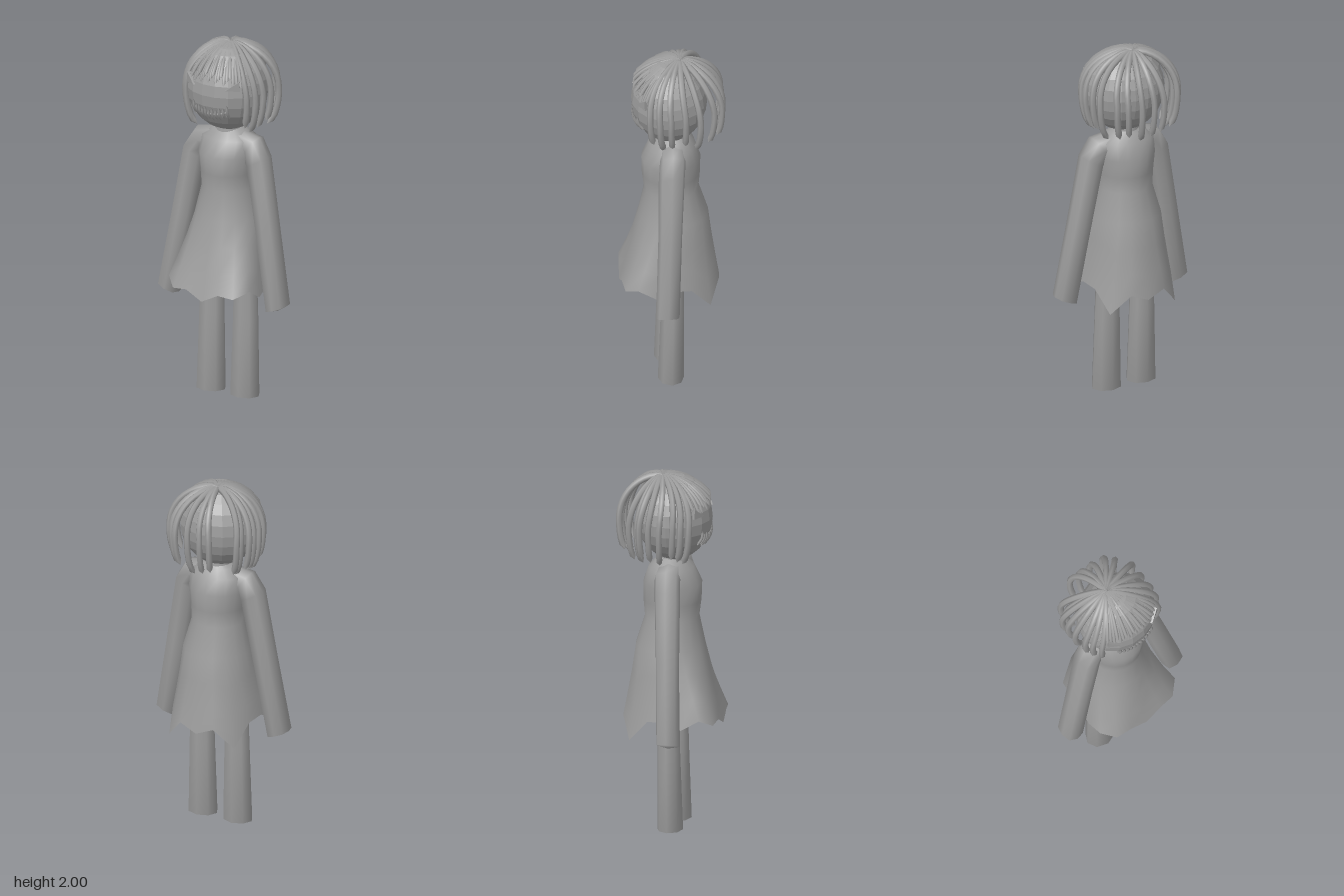
import * as THREE from 'three';

const grey = new THREE.MeshStandardMaterial({ color: 0x9c9c9c, side: THREE.DoubleSide });
const faceted = new THREE.MeshStandardMaterial({ color: 0x9c9c9c, flatShading: true });
const V = (x, y, z) => new THREE.Vector3(x, y, z);

// Skin closed rings, listed from top to bottom; optionally close the end around a middle point
function loft(rings, tip) {
  const all = rings.slice();
  if (tip) all.push(rings[0].map(() => tip));
  const n = all[0].length, index = [];
  for (let j = 0; j < all.length - 1; j++) {
    for (let i = 0; i < n; i++) {
      const a = j * n + i, b = j * n + (i + 1) % n;
      index.push(a, a + n, b, b, a + n, b + n);
    }
  }
  const g = new THREE.BufferGeometry().setFromPoints(all.flat());
  g.setIndex(index);
  g.computeVertexNormals();
  return g;
}

function ring(n, fn) {
  return Array.from({ length: n }, (_, i) => {
    const a = (i / n) * Math.PI * 2;
    return fn(Math.sin(a), Math.cos(a));
  });
}

// Six-sided lock of hair with both ends drawn to a point
function lock(points, radius, steps) {
  const g = new THREE.TubeGeometry(new THREE.CatmullRomCurve3(points), steps, radius, 6);
  const pos = g.attributes.position;
  const start = points[0], end = points[points.length - 1];
  for (let i = 0; i < 7; i++) {
    pos.setXYZ(i, start.x, start.y, start.z);
    pos.setXYZ(steps * 7 + i, end.x, end.y, end.z);
  }
  return g;
}

export function createModel() {
  const model = new THREE.Group();
  const add = (name, geometry, material = grey, parent = model) => {
    const m = new THREE.Mesh(geometry, material);
    m.name = name;
    parent.add(m);
    return m;
  };
  const group = (name) => {
    const g = new THREE.Group();
    g.name = name;
    model.add(g);
    return g;
  };

  // Dress: rows of [y, half width, front z, back z], then a jagged hem
  const rows = [
    [1.53, 0.07, 0.065, -0.065], [1.51, 0.1, 0.08, -0.08], [1.47, 0.16, 0.125, -0.12],
    [1.38, 0.165, 0.17, -0.149], [1.28, 0.152, 0.167, -0.148], [1.19, 0.148, 0.155, -0.14],
    [1.03, 0.19, 0.188, -0.19],
  ];
  const halfHem = [
    [0, 0.6, 0.289], [0.1, 0.65, 0.284], [0.19, 0.64, 0.273], [0.255, 0.68, 0.21], [0.255, 0.62, 0.11],
    [0.25, 0.66, 0.02], [0.235, 0.65, -0.08], [0.2, 0.53, -0.185], [0.1, 0.64, -0.24], [0, 0.6, -0.25],
  ];
  const hem = [
    ...halfHem.map(([x, y, z]) => V(x, y, z)),
    ...halfHem.slice(1, -1).reverse().map(([x, y, z]) => V(-x, y, z)),
  ];
  const dressRings = rows.map(([y, rx, zf, zb]) =>
    ring(hem.length, (s, c) => V(rx * s, y, (zf + zb) / 2 + ((zf - zb) / 2) * c)));
  const hip = dressRings[dressRings.length - 1];
  for (const t of [0.35, 0.7]) {
    dressRings.push(hip.map((p, i) => {
      const q = p.clone().lerp(hem[i], t ** 1.15);
      q.y = THREE.MathUtils.lerp(p.y, hem[i].y, t);
      return q;
    }));
  }
  dressRings.push(hem);
  add('dress', loft(dressRings));

  // Sleeves: sections [x, y, z, across x, across y, half depth]; legs: [x, y, z, half width, half depth]
  const sleeve = [
    [0.07, 1.445, 0.01, 0.01, 0.068, 0.065], [0.155, 1.43, 0.015, 0.04, 0.06, 0.07],
    [0.2, 1.36, 0.025, 0.057, 0.03, 0.07], [0.264, 1.0, 0.04, 0.06, 0.014, 0.064],
    [0.342, 0.56, 0.06, 0.058, 0.022, 0.064],
  ];
  const leg = [
    [0.105, 0.85, 0.01, 0.06, 0.058], [0.107, 0.45, 0.012, 0.074, 0.063], [0.107, 0.015, 0.02, 0.086, 0.071],
  ];
  const square = (v) => Math.sign(v) * Math.abs(v) ** 0.7;
  for (const side of [1, -1]) {
    const label = side > 0 ? 'left' : 'right';
    add(label + 'Sleeve', loft(sleeve.map(([x, y, z, dx, dy, hz]) =>
      ring(8, (s, c) => V(side * x + dx * square(s), y + side * dy * square(s), z + hz * square(c)))),
      V(side * 0.344, 0.545, 0.06)));
    add(label + 'Leg', loft(leg.map(([x, y, z, rx, rz]) =>
      ring(8, (s, c) => V(side * x + rx * s, y, z + rz * c))), V(side * 0.107, 0, 0.02)));
  }

  // Neck and faceted head
  add('neck', new THREE.CylinderGeometry(0.07, 0.08, 0.07, 16)).position.set(0, 1.53, 0.005);
  const head = add('head', new THREE.SphereGeometry(1, 18, 12), faceted);
  head.scale.set(0.225, 0.235, 0.205);
  head.position.set(0, 1.75, 0.02);
  const faceZ = (x, y) =>
    0.02 + 0.205 * Math.sqrt(Math.max(0, 1 - (x / 0.225) ** 2 - ((y - 1.75) / 0.235) ** 2));

  // Three-cornered eyes
  for (const side of [1, -1]) {
    const shape = new THREE.Shape([
      new THREE.Vector2(-side * 0.04, -0.02), new THREE.Vector2(side * 0.04, -0.025),
      new THREE.Vector2(side * 0.035, 0.03),
    ]);
    const eye = add(side > 0 ? 'leftEye' : 'rightEye',
      new THREE.ExtrudeGeometry(shape, { depth: 0.02, bevelEnabled: false }), faceted);
    eye.position.set(side * 0.125, 1.815, faceZ(0.125, 1.815) - 0.01);
    eye.rotation.y = side * 0.55;
  }

  // Smiling mouth: a curved lip crossed by upright stitches
  const mouth = group('mouth');
  const smileY = (x) => 1.645 + 2 * x * x;
  const lip = [-0.11, -0.055, 0, 0.055, 0.11].map((x) => V(x, smileY(x), faceZ(x, smileY(x)) + 0.002));
  add('lip', lock(lip, 0.006, 12), grey, mouth);
  for (let i = 0; i < 11; i++) {
    const x = -0.105 + i * 0.021, y = smileY(x), h = i % 2 ? 0.032 : 0.042;
    const pts = [h, 0, -h].map((d) => V(x, y + d, faceZ(x, y + d) + (d ? 0.002 : 0.008)));
    add('stitch', lock(pts, 0.008, 6), grey, mouth);
  }

  // Hair locks run from the crown over the skull to an outer point (x, z)
  const hair = group('hair');
  const crown = [-0.02, -0.04];
  function hairLock(name, x, z, endAngle, radius, swirl) {
    const fall = (t) => (t < Math.PI / 2 ? Math.sin(t) : Math.sin(t) ** 0.38);
    const reach = endAngle < Math.PI / 2 ? fall(endAngle) : 1;
    const dx = (x - crown[0]) / reach, dz = (z - crown[1]) / reach, pts = [];
    for (let i = 0; i <= 8; i++) {
      const t = endAngle * (i / 8), f = fall(t), w = swirl * Math.sin(2 * Math.min(t, Math.PI / 2));
      pts.push(V(crown[0] + dx * f - dz * w, 1.742 + 0.242 * Math.cos(t), crown[1] + dz * f + dx * w));
    }
    add(name, lock(pts, radius, 16), grey, hair);
  }
  const tips = [
    [-0.09, -0.265], [-0.03, -0.265], [0.045, -0.265], [0.125, -0.255], [0.17, -0.21], [0.23, -0.13],
    [0.23, -0.05], [0.23, 0.03], [0.22, 0.09], [0.195, 0.14], [-0.215, -0.185], [-0.215, -0.14],
    [-0.255, -0.12], [-0.255, -0.07], [-0.255, -0.01], [-0.24, 0.06], [-0.22, 0.1], [-0.19, 0.14],
  ];
  tips.forEach(([x, z], i) => hairLock('longLock', x, z, 2.38 + 0.14 * (i % 3), 0.0175, x < -0.1 ? -0.05 : 0.05));
  for (let i = 0; i < 22; i++) {
    const x = -0.165 + i * 0.0157;
    const z = 0.02 + 0.195 * Math.sqrt(1 - (x / 0.235) ** 2);
    hairLock('fringeLock', x, z, 1.04 + 0.1 * ((i * 2) % 3) + 5 * x * x, 0.0105, 0);
  }
  return model;
}
